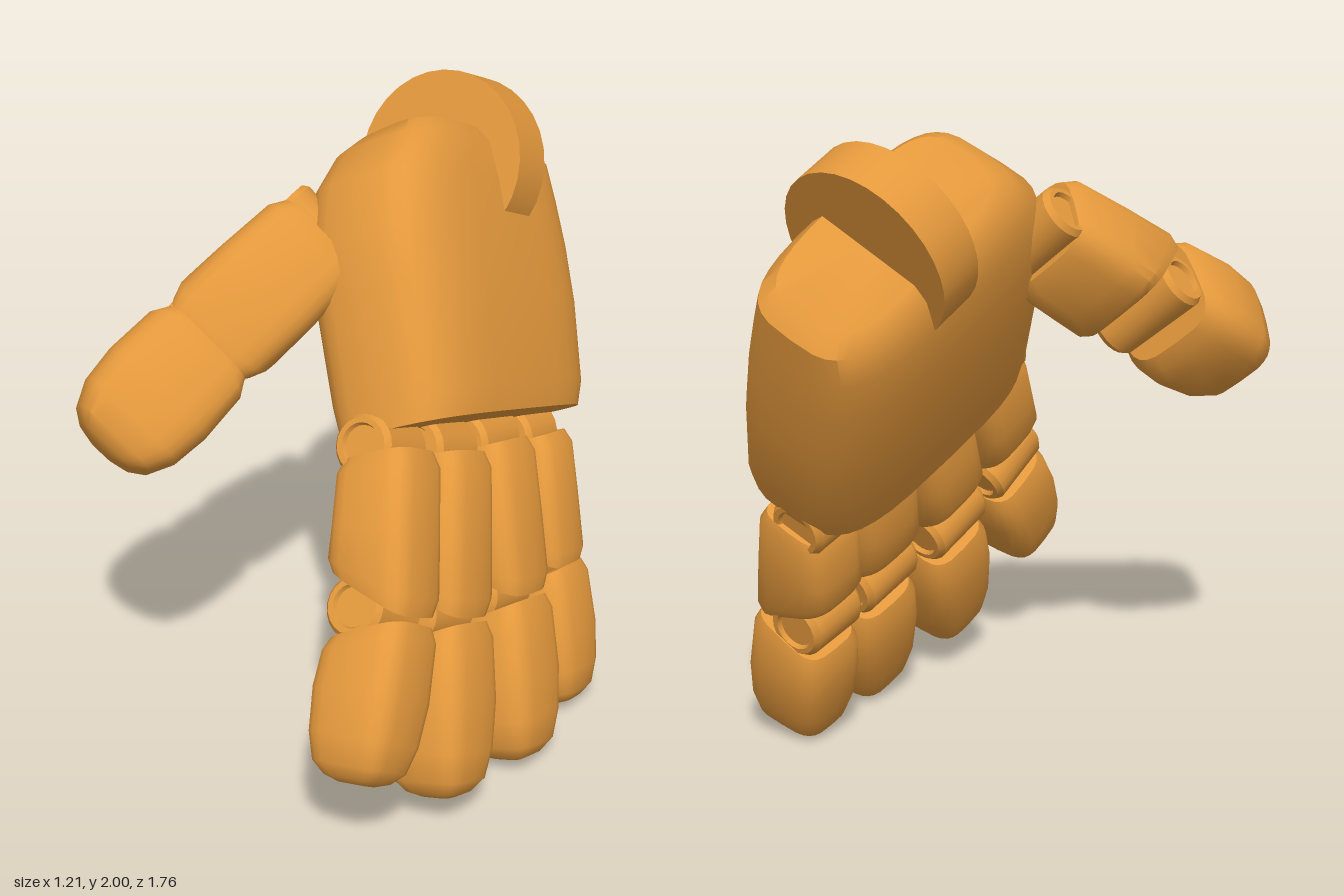
import * as THREE from 'three';
import { toCreasedNormals } from 'three/addons/utils/BufferGeometryUtils.js';

const material = new THREE.MeshStandardMaterial({ color: 0xe3983c });
const V = (x, y, z) => new THREE.Vector3(x, y, z);

// Skin of rounded-box sections, bottom to top:
// [y, centreX, halfX, centreZ, halfZ, slope along x, slope along z]
function loft(rings, power, sides = 28) {
  const pos = [], index = [];
  rings.forEach(([y, cx, hx, cz, hz, sx, sz]) => {
    for (let j = 0; j < sides; j++) {
      const t = (j / sides) * Math.PI * 2, c = Math.cos(t), s = Math.sin(t);
      const x = cx + hx * Math.sign(c) * Math.abs(c) ** (2 / power);
      const z = cz + hz * Math.sign(s) * Math.abs(s) ** (2 / power);
      pos.push(x, y + sx * x + sz * z, z);
    }
  });
  const last = rings.length - 1, base = rings.length * sides;
  [rings[0], rings[last]].forEach(([y, cx, , cz, , sx, sz]) =>
    pos.push(cx, y + sx * cx + sz * cz, cz));
  for (let j = 0; j < sides; j++) {
    const k = (j + 1) % sides;
    for (let i = 0; i < last; i++) {
      const a = i * sides + j, b = i * sides + k;
      index.push(a, a + sides, b, b, a + sides, b + sides);
    }
    index.push(base, j, k, base + 1, last * sides + k, last * sides + j);
  }
  const geo = new THREE.BufferGeometry();
  geo.setAttribute('position', new THREE.Float32BufferAttribute(pos, 3));
  geo.setIndex(index);
  return toCreasedNormals(geo, 0.7);
}

function mesh(geo, name, parent) {
  const m = new THREE.Mesh(geo, material);
  m.name = name;
  parent.add(m);
  return m;
}

// Group whose y runs along `up` and whose z follows the hinge axis
function frame(name, origin, up, axis, parent) {
  const y = up.clone().normalize();
  const x = y.clone().cross(axis).normalize();
  const z = x.clone().cross(y);
  const g = new THREE.Group();
  g.name = name;
  g.quaternion.setFromRotationMatrix(new THREE.Matrix4().makeBasis(x, y, z));
  g.position.copy(origin);
  parent.add(g);
  return g;
}

// Hinge barrel with a recessed cap at each end
function hinge(radius, half) {
  const end = [[0, -0.015], [0.62, -0.015], [0.68, 0], [0.85, 0], [1, -0.018]];
  const upper = end.map(([r, d]) => new THREE.Vector2(r * radius, half + d));
  const lower = upper.map(p => new THREE.Vector2(p.x, -p.y));
  const lathe = new THREE.LatheGeometry([...lower, ...upper.reverse()], 20);
  return toCreasedNormals(lathe.rotateX(Math.PI / 2), 0.5);
}

// [fraction of length, scale of width, scale of depth, shift to the back, slope];
// the slopes let the back of each segment hood the hinge
const proximal = [
  [0.06, 0.86, 0.8, 0.03, 0.2], [0.15, 0.99, 0.96, 0.03, 0.15], [0.5, 1.03, 1.02, 0.03, 0],
  [0.77, 1.04, 1.07, 0.03, -0.4], [0.86, 0.93, 0.97, 0.03, -0.5]];
const distal = [
  [0.15, 0.88, 0.86, 0.04, 0.35], [0.23, 1, 0.98, 0.04, 0.3], [0.48, 1.04, 1.04, 0.04, 0],
  [0.74, 0.97, 0.98, 0.04, 0], [0.9, 0.78, 0.86, 0.04, 0], [0.97, 0.54, 0.62, 0.04, 0],
  [1, 0.25, 0.35, 0.04, 0]];

function digit(name, joints, axis, sizes, hingeRadius, parent) {
  const g = new THREE.Group();
  g.name = name;
  parent.add(g);
  [proximal, distal].forEach((profile, i) => {
    const [a, b] = [joints[i], joints[i + 1]], [width, depth] = sizes[i];
    const length = a.distanceTo(b);
    const part = frame(name + (i ? 'Outer' : 'Inner'), a, a.clone().sub(b), axis, g);
    const rings = profile.map(([t, w, d, shift, slope]) =>
      [-t * length, shift, d * depth / 2, 0, w * width / 2, slope, 0]).reverse();
    mesh(loft(rings, 3.8, 24), i ? 'fingertip' : 'phalanx', part);
    mesh(hinge(hingeRadius, width * 0.42), 'hinge', part);
  });
}

export function createModel() {
  const model = new THREE.Group();
  model.name = 'hand';

  // Palm, tapering and rounding over towards the wrist
  const across = V(0.05, 0.43, 0.9);
  const palm = frame('palmGroup', V(0.11, 0.99, -0.13), V(-0.45, 0.82, -0.36), across, model);
  mesh(loft([
    [0.03, 0.05, 0.225, 0, 0.5, 0.04, -0.07],
    [0.12, 0.055, 0.24, 0, 0.515, 0, -0.06],
    [0.4, 0.065, 0.25, 0.02, 0.525, 0, 0],
    [0.58, 0.07, 0.245, 0.03, 0.52, 0, 0],
    [0.73, 0.075, 0.23, 0.02, 0.49, 0.04, 0.02],
    [0.83, 0.085, 0.205, -0.02, 0.435, 0.1, 0.05],
    [0.87, 0.09, 0.165, -0.03, 0.37, 0.15, 0.07],
  ], 3.6, 36), 'palm', palm);

  // Wrist disc set into the end of the palm
  const disc = new THREE.CylinderGeometry(0.285, 0.285, 0.155, 32).rotateX(Math.PI / 2);
  mesh(disc, 'wristDisc', palm).position.set(0.105, 0.835, -0.03);

  // Fingers: knuckle, middle joint and tip
  const fingers = [
    ['indexFinger', V(0.15, 1.13, 0.26), V(0.3, 0.73, 0.48), V(0.42, 0.33, 0.76), 0.27, 0.29],
    ['middleFinger', V(0.15, 1.02, 0.01), V(0.29, 0.59, 0.21), V(0.46, 0.1, 0.42), 0.28, 0.3],
    ['ringFinger', V(0.12, 0.93, -0.25), V(0.27, 0.5, -0.12), V(0.44, 0.01, 0.03), 0.28, 0.3],
    ['littleFinger', V(0.09, 0.83, -0.51), V(0.21, 0.45, -0.41), V(0.35, 0.0, -0.32), 0.24, 0.27],
  ];
  for (const [name, a, b, c, inner, outer] of fingers)
    digit(name, [a, b, c], across, [[inner, 0.27], [outer, 0.285]], 0.097, model);

  // Thumb
  digit('thumb', [V(-0.24, 1.63, 0.08), V(-0.37, 1.38, 0.44), V(-0.46, 1.14, 0.81)],
    V(-0.7, 0.65, 0.2), [[0.35, 0.31], [0.37, 0.33]], 0.088, model);

  return model;
}
